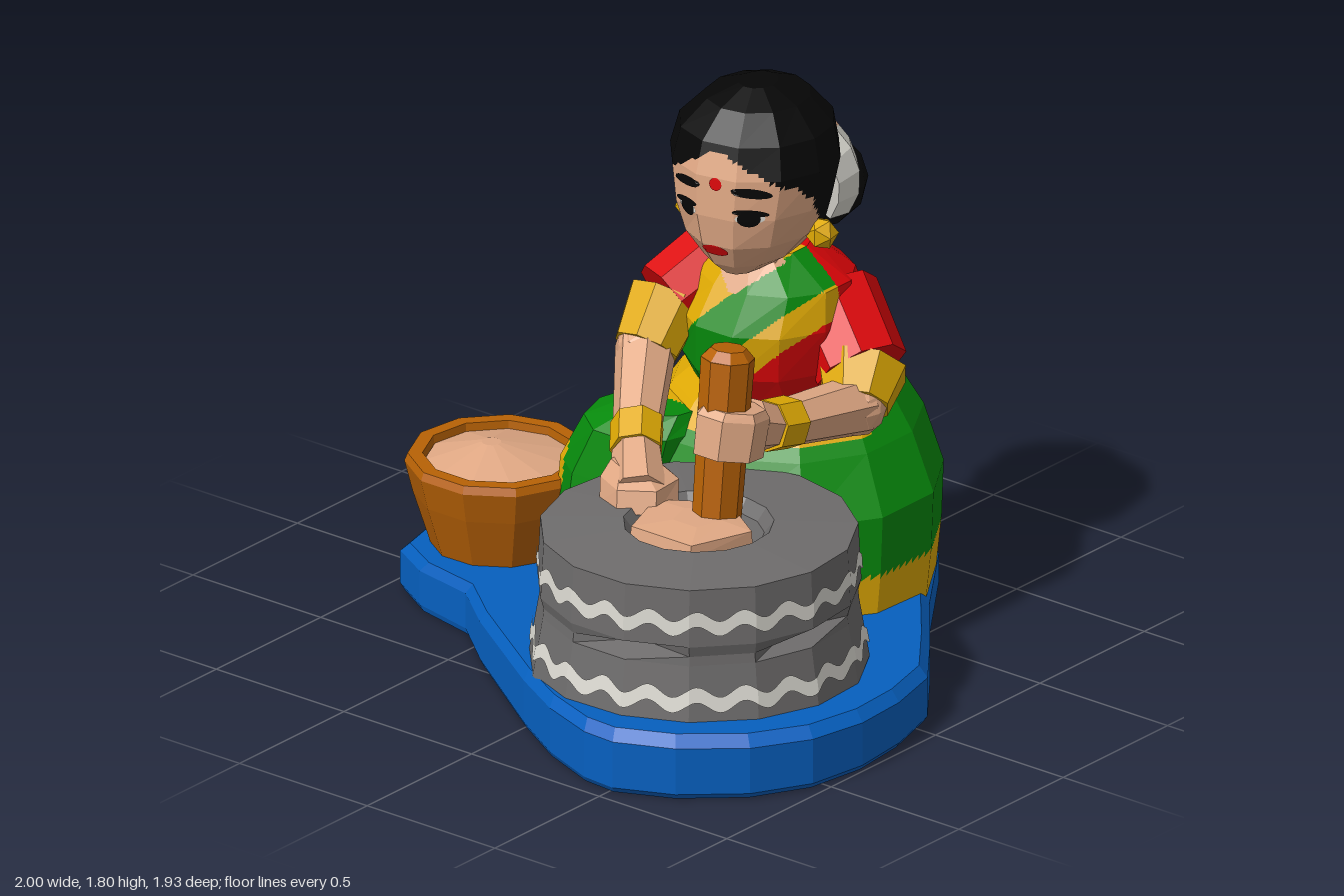
import * as THREE from 'three';

const V = (x, y, z) => new THREE.Vector3(x, y, z);
const mat = (name, color) => Object.assign(new THREE.MeshStandardMaterial({ color }), { name });
const blue = mat('base blue', 0x0660c0), grey = mat('stone grey', 0x6e6c6c), white = mat('off white', 0xdedcd4);
const brown = mat('wood brown', 0xb86205), skin = mat('skin', 0xe0a884), black = mat('hair black', 0x060606);
const red = mat('blouse red', 0xdc0508), green = mat('sari green', 0x078a0c), yellow = mat('border yellow', 0xe0aa04);

// Faceted normals for any geometry
function facet(geo) {
  const g = geo.index ? geo.toNonIndexed() : geo;
  g.computeVertexNormals();
  return g;
}
function add(parent, name, geo, material, pos) {
  const m = new THREE.Mesh(facet(geo), material);
  m.name = name;
  if (pos) m.position.copy(pos);
  parent.add(m);
  return m;
}
// Elliptical cross-section
function ell(y, cx, cz, rx, rz, n = 12) {
  return Array.from({ length: n }, (_, j) => {
    const t = (j + 0.5) / n * Math.PI * 2;
    return V(cx + rx * Math.sin(t), y, cz + rz * Math.cos(t));
  });
}
// Surface through a stack of cross-sections, from bottom to top
function loft(rings, caps = true) {
  const p = [], tri = (a, b, c) => p.push(...a.toArray(), ...b.toArray(), ...c.toArray());
  const n = rings[0].length;
  for (let i = 0; i < rings.length - 1; i++) for (let j = 0; j < n; j++) {
    const k = (j + 1) % n, a = rings[i], b = rings[i + 1];
    tri(a[j], a[k], b[k]);
    tri(a[j], b[k], b[j]);
  }
  if (caps) [rings[0], rings.at(-1)].forEach((r, top) => {
    const c = r.reduce((s, v) => s.add(v), V(0, 0, 0)).divideScalar(n);
    for (let j = 0; j < n; j++) top ? tri(c, r[j], r[(j + 1) % n]) : tri(c, r[(j + 1) % n], r[j]);
  });
  return new THREE.BufferGeometry().setAttribute('position', new THREE.Float32BufferAttribute(p, 3));
}
// Split the faces finely and give each a material index by a rule on its centre
function paint(geo, levels, count, rule) {
  const pos = (geo.index ? geo.toNonIndexed() : geo).attributes.position;
  let tris = [];
  for (let i = 0; i < pos.count; i += 3) tris.push([0, 1, 2].map(k => V().fromBufferAttribute(pos, i + k)));
  for (let l = 0; l < levels; l++) tris = tris.flatMap(([a, b, c]) => {
    const d = a.clone().lerp(b, 0.5), e = b.clone().lerp(c, 0.5), f = c.clone().lerp(a, 0.5);
    return [[a, d, f], [d, b, e], [f, e, c], [d, e, f]];
  });
  const lists = Array.from({ length: count }, () => []);
  for (const t of tris) lists[rule(V(0, 0, 0).add(t[0]).add(t[1]).add(t[2]).divideScalar(3))].push(...t);
  const g = new THREE.BufferGeometry().setFromPoints(lists.flat());
  let start = 0;
  lists.forEach((l, i) => { g.addGroup(start, l.length, i); start += l.length; });
  return g;
}
// Tapered limb between two points
function limb(parent, name, material, a, b, ra, rb, n = 7) {
  const m = add(parent, name, new THREE.CylinderGeometry(rb, ra, a.distanceTo(b), n), material, a.clone().lerp(b, 0.5));
  m.quaternion.setFromUnitVectors(V(0, 1, 0), b.clone().sub(a).normalize());
}

function buildBase(g) {
  const outline = [[-0.1, -0.95], [0.05, -0.97], [0.2, -0.93], [0.31, -0.86], [0.55, -0.52], [0.75, -0.28], [0.92, -0.06],
    [0.98, 0.15], [1, 0.35], [0.97, 0.55], [0.87, 0.73], [0.7, 0.88], [0.52, 0.96], [0.4, 0.95], [0.2, 0.87], [0, 0.75],
    [-0.4, 0.47], [-0.58, 0.32], [-0.8, 0.27], [-0.95, 0.18], [-1, 0], [-0.98, -0.15], [-0.85, -0.28], [-0.5, -0.58], [-0.22, -0.87]].reverse();
  const ring = (s, y, slope) => outline.map(([x, z]) => V(x * s, y + slope * (0.03 * z + 0.015 * x), z * s));
  add(g, 'base', loft([ring(0.985, 0, 0), ring(1, 0.02, 0), ring(1, 0.135, 1), ring(0.965, 0.168, 1)]), blue);
}

function buildGrinder(g) {
  const stone = new THREE.Group();
  stone.name = 'grindingStone';
  stone.position.set(0.345, 0, 0.335);
  g.add(stone);
  const N = 15;
  const radius = y => y < 0.4 ? 0.525 - 0.18 * (y - 0.17) : 0.495 - 0.05 * (y - 0.44);
  const c = (y, r) => ell(y, 0, 0, r, r, N);
  // Groove that opens at every third corner
  const groove = c(0.405, 0.485).map((v, j) => j % 3 ? v : v.multiply(V(0.8, 1, 0.8)));
  add(stone, 'stoneBody', loft([c(0.185, 0.52), c(0.375, radius(0.375)), groove, c(0.44, radius(0.44)),
    c(0.625, radius(0.625)), c(0.64, 0.23), c(0.6, 0.2)]), grey);
  // Wavy painted bands
  for (const y0 of [0.27, 0.515]) {
    const edge = dy => Array.from({ length: 300 }, (_, i) => {
      const t = i / 300 * Math.PI * 2, step = Math.PI * 2 / N;
      const y = y0 + dy + 0.017 * Math.sin(t * 21);
      const off = ((t + step / 2) % step) - step / 2;
      // Corners sit half a step round, so facet middles fall on whole steps
      const r = radius(y) * Math.cos(step / 2) / Math.cos(Math.abs(Math.abs(off) < step / 2 ? step / 2 - Math.abs(step / 2 - Math.abs(off)) : off)) + 0.006;
      return V(r * Math.sin(t), y, r * Math.cos(t));
    });
    add(stone, 'wavyBand', loft([edge(-0.024), edge(0.024)], false), white);
  }
  add(stone, 'batter', loft([ell(0.6, -0.01, 0.02, 0.2, 0.19, 5), ell(0.645, -0.01, 0.02, 0.2, 0.18, 5), ell(0.655, 0, 0, 0.08, 0.08, 5)]), skin);
  // Pestle with chamfered tip
  const foot = V(0.355, 0.58, 0.265), tip = V(0.35, 1.14, 0.2);
  limb(g, 'pestle', brown, foot, tip, 0.075, 0.083, 8);
  limb(g, 'pestleTip', brown, tip, V(0.35, 1.17, 0.196), 0.083, 0.055, 8);
}

function buildBasket(g) {
  const c = (y, r) => ell(y, -0.715, -0.01, r, r, 11);
  add(g, 'basket', loft([c(0.14, 0.205), c(0.33, 0.265), c(0.43, 0.29), c(0.455, 0.28), c(0.455, 0.235), c(0.41, 0.23)]), brown);
  add(g, 'grain', loft([c(0.4, 0.235), c(0.43, 0.23), ell(0.485, -0.74, 0.0, 0.03, 0.03, 11)]), skin);
}

function buildSari(g) {
  const sideBand = p => p.x < -0.22 && p.z > -0.44 && p.z < -0.22;
  const hips = loft([ell(0.14, 0.04, -0.42, 0.5, 0.46), ell(0.3, 0.04, -0.43, 0.51, 0.47), ell(0.48, 0.04, -0.44, 0.51, 0.47),
    ell(0.65, 0.03, -0.47, 0.42, 0.42), ell(0.75, 0.02, -0.49, 0.35, 0.35), ell(0.84, 0.03, -0.48, 0.25, 0.27)]);
  add(g, 'skirt', paint(hips, 3, 2, p =>
    p.y < 0.29 || p.y > Math.max(0.69, 0.79 + (-0.7 - p.z) * 0.35) || sideBand(p) ? 1 : 0), [green, yellow]);
  const leg = loft([ell(0.14, -0.3, -0.09, 0.22, 0.25, 10), ell(0.3, -0.29, -0.1, 0.21, 0.24, 10), ell(0.52, -0.28, -0.13, 0.23, 0.23, 10),
    ell(0.67, -0.23, -0.14, 0.2, 0.21, 10), ell(0.73, -0.18, -0.18, 0.13, 0.17, 10)]);
  add(g, 'bentLeg', paint(leg, 3, 2, p =>
    p.y < 0.29 || sideBand(p) || (p.x < -0.43 && p.y > 0.42) || (p.y > 0.69 && p.z < -0.16) ? 1 : 0), [green, yellow]);
  add(g, 'foot', new THREE.BoxGeometry(0.14, 0.04, 0.12), skin, V(-0.25, 0.17, 0.1));
  // Blouse crossed by a draped band
  const torso = loft([ell(0.74, 0.03, -0.47, 0.24, 0.27), ell(0.88, 0.03, -0.43, 0.265, 0.32), ell(1.03, 0.04, -0.4, 0.275, 0.3),
    ell(1.15, 0.05, -0.4, 0.25, 0.23), ell(1.25, 0.05, -0.37, 0.12, 0.14)]);
  add(g, 'torso', paint(torso, 4, 4, p => {
    const s = p.y - p.x;
    if (p.z > -0.3 && p.y > 1.14 && Math.abs(p.x - 0.06) < (p.y - 1.13) * 1.1) return 3;
    if (p.z < -0.4) return p.y < 0.84 + (-0.7 - p.z) * 0.3 ? 1 : 0;
    if (s > 0.87 && s < 1.08) return 2;
    return s > 0.75 && s < 1.3 ? 1 : 0;
  }), [red, yellow, green, skin]);
  add(g, 'neck', loft([ell(1.14, 0.06, -0.32, 0.12, 0.11, 8), ell(1.3, 0.06, -0.3, 0.085, 0.09, 8)]), skin);
}

function buildArms(g) {
  const arms = [
    { side: 'right', r: 0.13, pts: [V(-0.15, 1.14, -0.38), V(-0.215, 1.04, -0.2), V(-0.2, 0.92, -0.08), V(-0.06, 0.785, 0.13), V(0.0, 0.735, 0.21), V(0.1, 0.66, 0.32)] },
    { side: 'left', r: 0.15, pts: [V(0.18, 1.06, -0.5), V(0.36, 0.89, -0.43), V(0.41, 0.81, -0.34), V(0.39, 0.85, -0.05), V(0.385, 0.87, 0.05), V(0.375, 0.9, 0.13)] }];
  for (const { side, r, pts } of arms) {
    const arm = new THREE.Group();
    arm.name = side + 'Arm';
    g.add(arm);
    limb(arm, 'sleeve', red, pts[0], pts[1], r, r - 0.005, 8);
    limb(arm, 'cuff', yellow, pts[1], pts[2], r - 0.005, 0.105, 8);
    add(arm, 'elbow', new THREE.IcosahedronGeometry(0.095, 1), skin, pts[2]);
    limb(arm, 'forearm', skin, pts[2], pts[3], 0.095, 0.077);
    limb(arm, 'bangle', yellow, pts[3], pts[4], 0.084, 0.082);
    limb(arm, 'wrist', skin, pts[4], pts[5], 0.075, 0.088);
  }
  // Hand resting on the stone, and fist around the pestle
  const palm = add(g, 'rightHand', loft([ell(-0.05, 0, 0.03, 0.12, 0.11, 6), ell(0.02, 0, 0, 0.12, 0.12, 6), ell(0.065, -0.02, -0.03, 0.07, 0.07, 6)]), skin, V(0.07, 0.67, 0.28));
  palm.rotation.y = 0.6;
  const fist = add(g, 'leftHand', loft([ell(-0.075, 0, 0, 0.11, 0.115, 7), ell(0.05, 0, 0, 0.115, 0.12, 7), ell(0.075, 0, 0, 0.1, 0.1, 7)]), skin, V(0.37, 0.91, 0.215));
  fist.rotation.x = -0.2;
}

function buildHead(g) {
  const head = new THREE.Group();
  head.name = 'head';
  const sections = [[1.225, 0.05, 0.06, 0.1], [1.27, 0, 0.135, 0.2], [1.35, -0.015, 0.205, 0.26], [1.45, 0, 0.24, 0.26],
    [1.58, -0.01, 0.265, 0.265], [1.68, -0.02, 0.24, 0.245], [1.76, -0.03, 0.16, 0.17], [1.8, -0.03, 0.06, 0.07]];
  const skull = loft(sections.map(([y, cz, rx, rz]) => ell(y, 0, cz, rx, rz)));
  const face = add(head, 'faceAndHair', paint(skull, 3, 2, p =>
    p.y < 1.67 - Math.abs(p.x) * 0.6 && p.z > -0.1 + (p.y - 1.3) * 0.9 ? 0 : 1), [skin, black]);
  face.updateMatrixWorld();

  // Thin painted ovals laid on the face
  const ray = new THREE.Raycaster();
  const oval = (name, material, x, y, w, h, tilt = 0, lift = 0.004) => {
    const geo = new THREE.RingGeometry(0.001, 1, 16, 4).scale(w, h, 1).rotateZ(tilt).translate(x, y, 0);
    const p = geo.attributes.position;
    for (let i = 0; i < p.count; i++) {
      ray.set(V(p.getX(i), p.getY(i), 1), V(0, 0, -1));
      const hit = ray.intersectObject(face)[0];
      p.setZ(i, (hit ? hit.point.z : 0.2) + lift);
    }
    add(head, name, geo, material);
  };
  for (const s of [-1, 1]) {
    oval('eyeWhite', white, s * 0.107, 1.46, 0.04, 0.018);
    oval('pupil', black, s * 0.105, 1.46, 0.031, 0.028, 0, 0.007);
    oval('eyelid', black, s * 0.11, 1.479, 0.05, 0.011, -s * 0.12, 0.008);
    oval('eyebrow', black, s * 0.11, 1.543, 0.058, 0.016, -s * 0.15);
    add(head, 'earring', new THREE.IcosahedronGeometry(0.053, 0), yellow, V(s * 0.222, 1.34, -0.02));
  }
  oval('foreheadDot', red, 0, 1.562, 0.021, 0.021);
  oval('lips', red, -0.012, 1.333, 0.046, 0.02);

  // Bun wrapped by a flower garland
  add(head, 'bun', new THREE.IcosahedronGeometry(1, 1).scale(0.2, 0.168, 0.15), black, V(-0.03, 1.335, -0.4));
  const wreath = new THREE.TorusGeometry(0.15, 0.078, 6, 12, Math.PI * 1.4).rotateZ(-Math.PI * 0.2).scale(1, 1, 1.2).rotateX(0.15).rotateY(0.15);
  add(head, 'garland', paint(wreath, 2, 2, p =>
    p.y > 0.05 && Math.abs(p.z + 0.02) < 0.06 && Math.sin(Math.atan2(p.y, p.x) * 9) > 0.92 ? 1 : 0), [white, skin], V(-0.02, 1.41, -0.27));
  head.position.set(0.055, 0, -0.285);
  head.rotation.y = 0.2;
  g.add(head);
}

export function createModel() {
  const g = new THREE.Group();
  g.name = 'womanGrindingBatter';
  for (const build of [buildBase, buildGrinder, buildBasket, buildSari, buildArms, buildHead]) build(g);
  return g;
}
